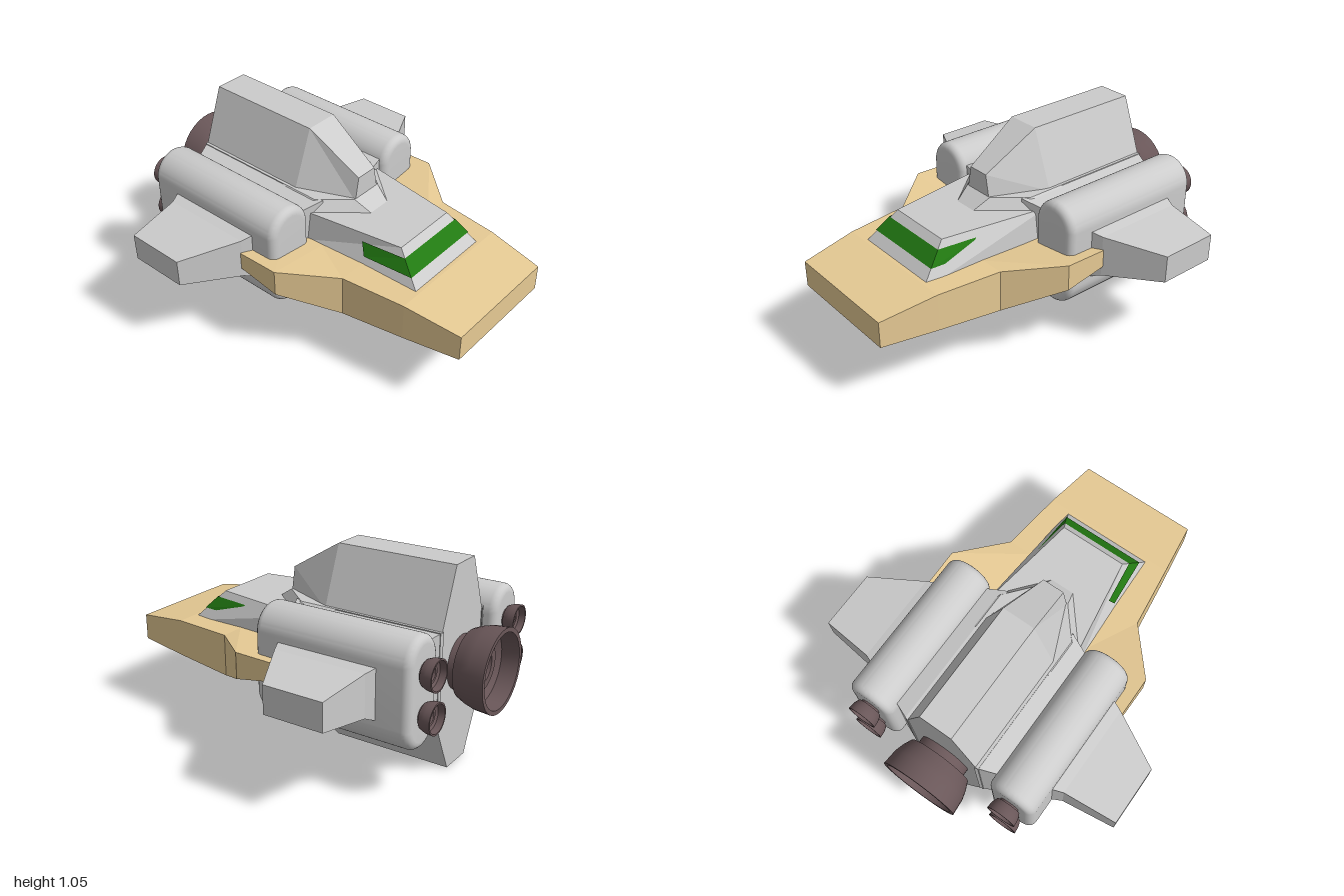
import * as THREE from 'three';
import { toCreasedNormals } from 'three/addons/utils/BufferGeometryUtils.js';

const mat = (color, flat) => new THREE.MeshStandardMaterial({ color, flatShading: flat, side: THREE.DoubleSide });
const GREY = mat(0xcccccc, true), SMOOTH = mat(0xcccccc, false);
const TAN = mat(0xe6ca94, true), GREEN = mat(0x227a12, true), BROWN = mat(0x6a5759, false);

function add(parent, name, geo, material) {
  const m = new THREE.Mesh(geo, material);
  m.name = name;
  parent.add(m);
  return m;
}

// Flat-faced solid through closed rings of [x, y, z] points, capped at both ends
function loft(rings) {
  const tris = [], n = rings[0].length;
  for (let r = 0; r + 1 < rings.length; r++) {
    const a = rings[r], b = rings[r + 1];
    for (let i = 0; i < n; i++) {
      const j = (i + 1) % n;
      tris.push([a[i], a[j], b[j]], [a[i], b[j], b[i]]);
    }
  }
  const first = rings[0], last = rings[rings.length - 1];
  for (let i = 1; i + 1 < n; i++) {
    tris.push([first[0], first[i + 1], first[i]], [last[0], last[i], last[i + 1]]);
  }
  // Turn the faces outward whichever way the rings run
  const v = (p) => new THREE.Vector3(...p);
  const volume = tris.reduce((s, [a, b, c]) => s + v(a).dot(v(b).cross(v(c))), 0);
  if (volume < 0) tris.forEach((t) => t.reverse());
  return faces(tris);
}

function faces(tris) {
  const g = new THREE.BufferGeometry();
  g.setAttribute('position', new THREE.Float32BufferAttribute(tris.flat(2), 3));
  g.computeVertexNormals();
  return g;
}

// Symmetric ring from its right half, listed from top to bottom
const mirrorRing = (half) => [...half, ...half.slice().reverse().map(([x, y, z]) => [-x, y, z])];

// Nozzle opening toward -z, with a stepped bore
function nozzle(scale) {
  const profile = [[0.14, -0.02], [0.14, 0.045], [0.175, 0.045], [0.195, 0.09], [0.208, 0.135], [0.215, 0.22],
    [0.192, 0.22], [0.185, 0.13], [0.13, 0.1], [0.125, 0.125], [0.085, 0.125], [0.075, 0.07], [0, 0.06]];
  const g = new THREE.LatheGeometry(profile.map(([r, d]) => new THREE.Vector2(r * scale, d * scale)), 36);
  return toCreasedNormals(g.rotateX(-Math.PI / 2), 0.5);
}

export function createModel() {
  const ship = new THREE.Group();
  ship.name = 'spaceship';

  // Nose plate: z, outer half width, outer top and bottom, inner half width, top and bottom
  add(ship, 'nosePlate', loft([
    [1, 0.33, 0.51, 0.37, 0.28, 0.51, 0.37],
    [0.7, 0.37, 0.55, 0.35, 0.28, 0.55, 0.35],
    [0.36, 0.41, 0.555, 0.33, 0.28, 0.555, 0.33],
    [0.11, 0.62, 0.59, 0.45, 0.28, 0.55, 0.35],
    [-0.12, 0.62, 0.585, 0.49, 0.28, 0.55, 0.4],
  ].map(([z, w, top, bottom, wi, ti, bi]) =>
    mirrorRing([[wi, ti, z], [w, top, z], [w, bottom, z], [wi, bi, z]]))), TAN);

  // Keel under the plate: z and half width of the upper edge, then z, half width and y of the lower edge
  add(ship, 'keel', loft([
    [0.72, 0.32, 0.71, 0.3, 0.335],
    [0.68, 0.34, 0.62, 0.2, 0.24],
    [0.36, 0.4, 0.23, 0.21, 0.24],
    [0.0, 0.34, 0.0, 0.21, 0.245],
    [-0.3, 0.3, -0.3, 0.21, 0.25],
  ].map(([zu, wu, zl, wl, y]) => mirrorRing([[wu, 0.36, zu], [wl, y, zl]]))), GREY);

  // Core block between the fins
  add(ship, 'core', loft([0.0, -0.78].map((z) => mirrorRing([[0.22, 0.755, z], [0.22, 0.25, z]]))), GREY);

  // Raised shoulder running from the cabin roof to the upper fin
  add(ship, 'shoulder', loft([
    [0.25, 0.065, 0.7, 0.07],
    [0.165, 0.09, 0.755, 0.14],
    [0.01, 0.22, 0.755, 0.27],
    [-0.2, 0.22, 0.755, 0.3],
  ].map(([z, wt, y, wb]) => mirrorRing([[wt, y, z], [wb, 0.695, z]]))), GREY);

  // Cabin: a point on its side by height t (0 base, 1 roof) and distance s (0 front, 1 back)
  const L = THREE.MathUtils.lerp;
  const cabinPoint = (t, s, side = 1, out = 0) =>
    [side * (L(L(0.265, 0.185, t), L(0.292, 0.275, t), s) + out), L(0.52, 0.7, t), L(L(0.71, 0.535, t), -0.05, s) + out];
  add(ship, 'cabin', loft([0, 1].map((t) =>
    [cabinPoint(t, 0), cabinPoint(t, 1), cabinPoint(t, 1, -1), cabinPoint(t, 0, -1)])), GREY);

  // Wraparound window band
  const band = (t, s) => [cabinPoint(t, s, -1, 0.005), cabinPoint(t, 0, -1, 0.005),
    cabinPoint(t, 0, 1, 0.005), cabinPoint(t, s, 1, 0.005)];
  const low = band(0.44, 0.4), high = band(0.81, 0.385), glass = [];
  for (let i = 0; i < 3; i++) {
    glass.push([low[i], low[i + 1], high[i + 1]], [low[i], high[i + 1], high[i]]);
  }
  add(ship, 'window', faces(glass), GREEN);

  // Fins: z, base half width, base y, tip half width, tip y
  const fin = (sections) => loft(sections.map(([z, wb, yb, wt, yt]) => mirrorRing([[wt, yt, z], [wb, yb, z]])));
  add(ship, 'upperFin', fin([
    [0.165, 0.085, 0.74, 0.06, 0.87], [-0.13, 0.21, 0.74, 0.09, 1.05], [-0.78, 0.21, 0.74, 0.09, 1.05],
  ]), GREY);
  add(ship, 'lowerFin', fin([
    [0.2, 0.08, 0.26, 0.065, 0.235], [0.165, 0.09, 0.26, 0.06, 0.185],
    [-0.13, 0.21, 0.255, 0.09, 0], [-0.78, 0.21, 0.255, 0.09, 0],
  ]), GREY);

  // Main engine
  add(ship, 'mainNozzle', nozzle(1), BROWN).position.set(0, 0.54, -0.78);

  // Stadium outline of the side pods
  const r = 0.09, h = 0.15, bevel = 0.04;
  const outline = new THREE.Shape();
  outline.absarc(0, h, r, 0, Math.PI, false);
  outline.absarc(0, -h, r, Math.PI, 2 * Math.PI, false);
  outline.closePath();
  const podGeo = toCreasedNormals(new THREE.ExtrudeGeometry(outline, {
    depth: 0.78, bevelEnabled: true, bevelSize: bevel, bevelThickness: bevel, bevelSegments: 5, curveSegments: 20,
  }), 0.6);
  const smallNozzle = nozzle(0.37);

  for (const side of [1, -1]) {
    const name = side > 0 ? 'left' : 'right';

    // Wing: x, bottom, top, front z, back z
    add(ship, name + 'Wing', loft([
      [0.2, 0.25, 0.755, 0.05, -0.785],
      [0.61, 0.435, 0.655, -0.12, -0.62],
      [0.895, 0.475, 0.62, -0.27, -0.59],
    ].map(([x, b, t, f, k]) =>
      [[x, b, f], [x, t, f], [x, t, k], [x, b, k]].map(([px, y, z]) => [side * px, y, z]))), GREY);

    // Engine pod with two small nozzles
    const pod = new THREE.Group();
    pod.name = name + 'EnginePod';
    pod.position.set(side * 0.427, 0.54, 0);
    add(pod, 'podBody', podGeo, SMOOTH).position.z = -0.775;
    for (const dy of [0.105, -0.105]) add(pod, 'podNozzle', smallNozzle, BROWN).position.set(0, dy, -0.808);
    ship.add(pod);
  }
  return ship;
}
